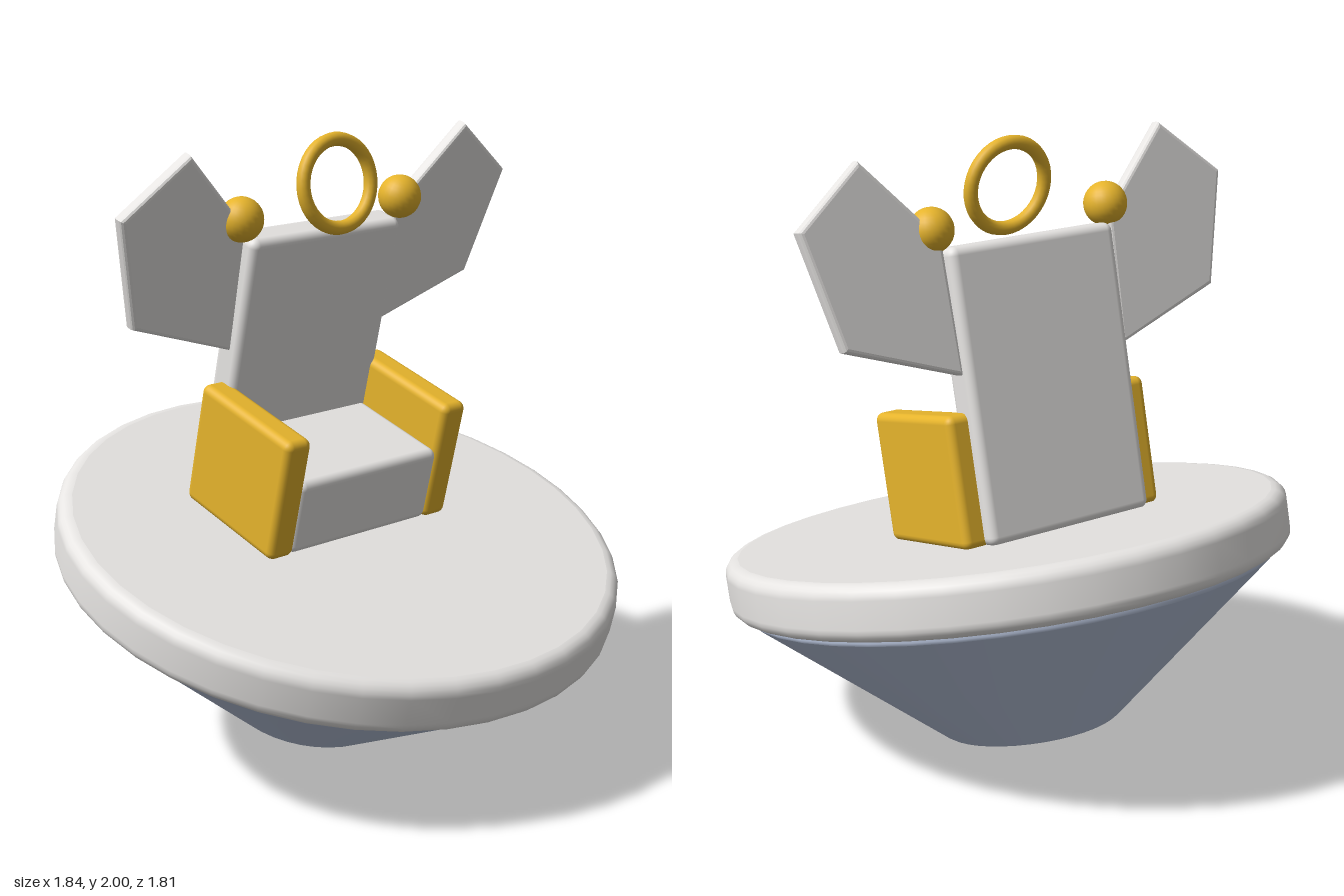
import * as THREE from 'three';
import { RoundedBoxGeometry } from 'three/addons/geometries/RoundedBoxGeometry.js';

const mat = (name, color) => new THREE.MeshStandardMaterial({ name, color });

export function createModel() {
  const stone = mat('pale grey', 0xe6e4e2);
  const slate = mat('pale slate blue', 0xbac6de);
  const gold = mat('gold', 0xe6b42c);

  const model = new THREE.Group();
  model.name = 'hoverThrone';

  // Everything is built upright, then tipped forward
  const throne = new THREE.Group();
  throne.name = 'tiltedThrone';
  throne.position.set(0, 0.07, -0.15);
  throne.rotation.x = THREE.MathUtils.degToRad(14);
  model.add(throne);

  const add = (name, geometry, material, x = 0, y = 0, z = 0) => {
    const mesh = new THREE.Mesh(geometry, material);
    mesh.name = name;
    mesh.position.set(x, y, z);
    throne.add(mesh);
    return mesh;
  };

  // Rounded box given by its limits on each axis
  const box = (name, material, [x0, x1], [y0, y1], [z0, z1], r) =>
    add(name, new RoundedBoxGeometry(x1 - x0, y1 - y0, z1 - z0, 3, r), material,
      (x0 + x1) / 2, (y0 + y1) / 2, (z0 + z1) / 2);

  // Turned solid; each section is its own mesh, so edges between sections stay sharp
  const turned = (name, material, sections) => {
    sections.forEach((pts, i) => add(name + (i + 1),
      new THREE.LatheGeometry(pts.map(([r, y]) => new THREE.Vector2(r, y)), 40), material));
  };

  // Inverted cone under the platform
  turned('coneBase', slate, [
    [[0, 0], [0.28, 0]],
    [[0.28, 0], [0.29, 0.002], [0.299, 0.008]],
    [[0.299, 0.008], [0.865, 0.495]],
    [[0.865, 0.495], [0.872, 0.505], [0.87, 0.52]],
  ]);

  // Round platform with softened rims
  const rim = (y, from, to) => Array.from({ length: 6 }, (_, i) => {
    const a = from + (to - from) * i / 5;
    return [0.875 + 0.045 * Math.cos(a), y + 0.045 * Math.sin(a)];
  });
  turned('platform', stone, [
    [[0, 0.513], [0.875, 0.513]],
    [...rim(0.558, -Math.PI / 2, 0), ...rim(0.645, 0, Math.PI / 2)],
    [[0.875, 0.69], [0, 0.69]],
  ]);

  // Chair
  box('seat', stone, [-0.29, 0.29], [0.685, 0.94], [-0.32, 0.09], 0.028);
  box('backrest', stone, [-0.305, 0.305], [0.685, 1.6], [-0.395, -0.28], 0.028);

  // Wing outline
  const outline = [[0.3, 1.213], [0.69, 1.347], [0.78, 1.708], [0.555, 1.888], [0.31, 1.63]];
  const bevel = 0.014;

  for (const s of [1, -1]) {
    const side = s > 0 ? 'left' : 'right';
    const armX = s > 0 ? [0.277, 0.375] : [-0.375, -0.277];
    box(side + 'Armrest', gold, armX, [0.685, 1.1], [-0.355, 0.095], 0.026);
    add(side + 'Orb', new THREE.SphereGeometry(0.07, 24, 16), gold, s * 0.325, 1.657, -0.336);

    const shape = new THREE.Shape(outline.map(([x, y]) => new THREE.Vector2(s * x, y)));
    add(side + 'Wing', new THREE.ExtrudeGeometry(shape, {
      depth: 0.018, bevelThickness: bevel, bevelSize: bevel, bevelOffset: -bevel, bevelSegments: 3,
    }), stone, 0, 0, -0.354);
  }

  // Halo ring above the backrest
  const halo = add('halo', new THREE.TorusGeometry(0.137, 0.022, 12, 40), gold, 0, 1.755, -0.289);
  halo.rotation.x = -0.35;

  return model;
}
